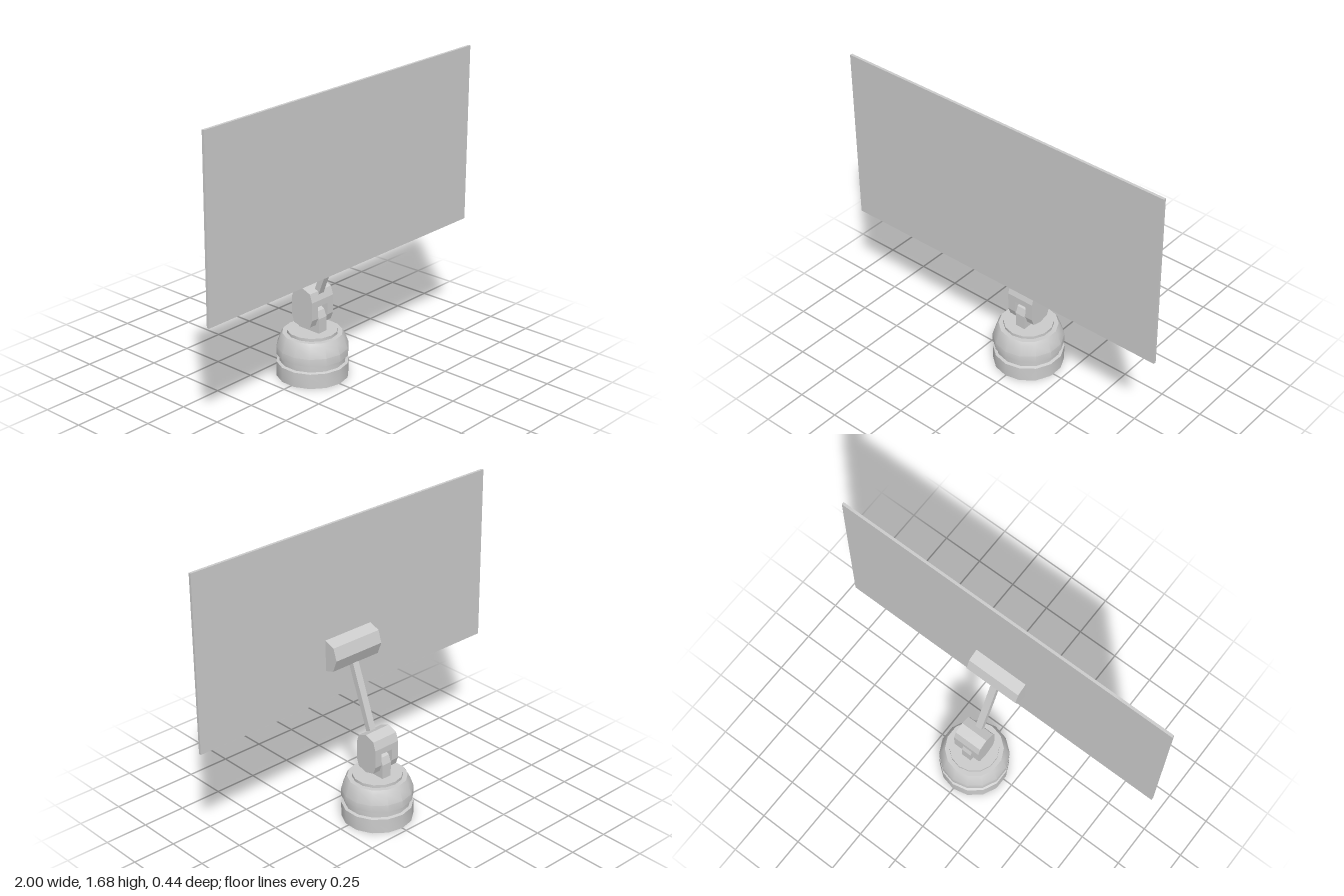
import * as THREE from 'three';
import { toCreasedNormals } from 'three/addons/utils/BufferGeometryUtils.js';

const material = new THREE.MeshStandardMaterial({ color: 0xcccccc });
const AXIS_Z = -0.022; // depth of the base and knuckle axis

function addMesh(parent, name, geometry) {
  const mesh = new THREE.Mesh(geometry, material);
  mesh.name = name;
  parent.add(mesh);
  return mesh;
}

// Extrudes a side outline of [z, y] points across x from x0 to x1
function sidePrism(outline, x0, x1) {
  const shape = new THREE.Shape(outline.map(([z, y]) => new THREE.Vector2(-z, y)));
  const geometry = new THREE.ExtrudeGeometry(shape, { depth: x1 - x0, bevelEnabled: false });
  return geometry.rotateY(Math.PI / 2).translate(x0, 0, 0);
}

// Completes half an outline by mirroring it about the base axis
function mirrored(half) {
  return [
    ...half.map(([d, y]) => [AXIS_Z + d, y]),
    ...half.filter(([d]) => d > 0).reverse().map(([d, y]) => [AXIS_Z - d, y]),
  ];
}

export function createModel() {
  const model = new THREE.Group();
  model.name = 'panelOnStand';

  // Round base with a groove, a sloped shoulder and a raised cap
  const profile = [
    [0, 0], [0.198, 0], [0.198, 0.085], [0.182, 0.09], [0.182, 0.125], [0.198, 0.13],
    [0.198, 0.172], [0.177, 0.23], [0.165, 0.25], [0.139, 0.25], [0.139, 0.267], [0, 0.267],
  ].map(([r, y]) => new THREE.Vector2(r, y));
  const base = addMesh(model, 'base', toCreasedNormals(new THREE.LatheGeometry(profile, 14), 0.55));
  base.position.z = AXIS_Z;

  // Upright tab that sits in the slot of the knuckle
  const tab = mirrored([[0.073, 0.26], [0.073, 0.35], [0.057, 0.39], [0, 0.423]]);
  addMesh(model, 'hingeTab', sidePrism(tab, -0.03, 0.03));

  // Slotted knuckle: two cheeks joined by a bridge above the tab
  const knuckle = new THREE.Group();
  knuckle.name = 'knuckle';
  model.add(knuckle);
  const cheek = mirrored([[0, 0.3], [0.057, 0.315], [0.073, 0.357], [0.073, 0.46], [0.057, 0.507], [0, 0.53]]);
  const bridge = mirrored([[0.073, 0.425], [0.073, 0.46], [0.057, 0.507], [0, 0.53]]);
  addMesh(knuckle, 'leftCheek', sidePrism(cheek, 0.037, 0.083));
  addMesh(knuckle, 'rightCheek', sidePrism(cheek, -0.083, -0.037));
  addMesh(knuckle, 'bridge', sidePrism(bridge, -0.037, 0.037));

  // Slanted arm from the knuckle to the panel mount
  const foot = new THREE.Vector3(0, 0.46, 0.011);
  const head = new THREE.Vector3(0, 0.9, 0.175);
  const along = head.clone().sub(foot);
  const arm = addMesh(model, 'arm', new THREE.BoxGeometry(0.04, along.length(), 0.034));
  arm.position.copy(foot).lerp(head, 0.5);
  arm.rotation.x = Math.atan2(along.z, along.y);

  // Faceted mount on the back of the panel
  const mount = [[0.207, 0.853], [0.207, 1.035], [0.142, 1.01], [0.12, 0.942], [0.148, 0.871]];
  addMesh(model, 'panelMount', sidePrism(mount, -0.16, 0.16));

  // Thin flat panel
  const panel = addMesh(model, 'panel', new THREE.BoxGeometry(2, 1, 0.015));
  panel.position.set(0, 1.18, 0.2125);

  return model;
}
